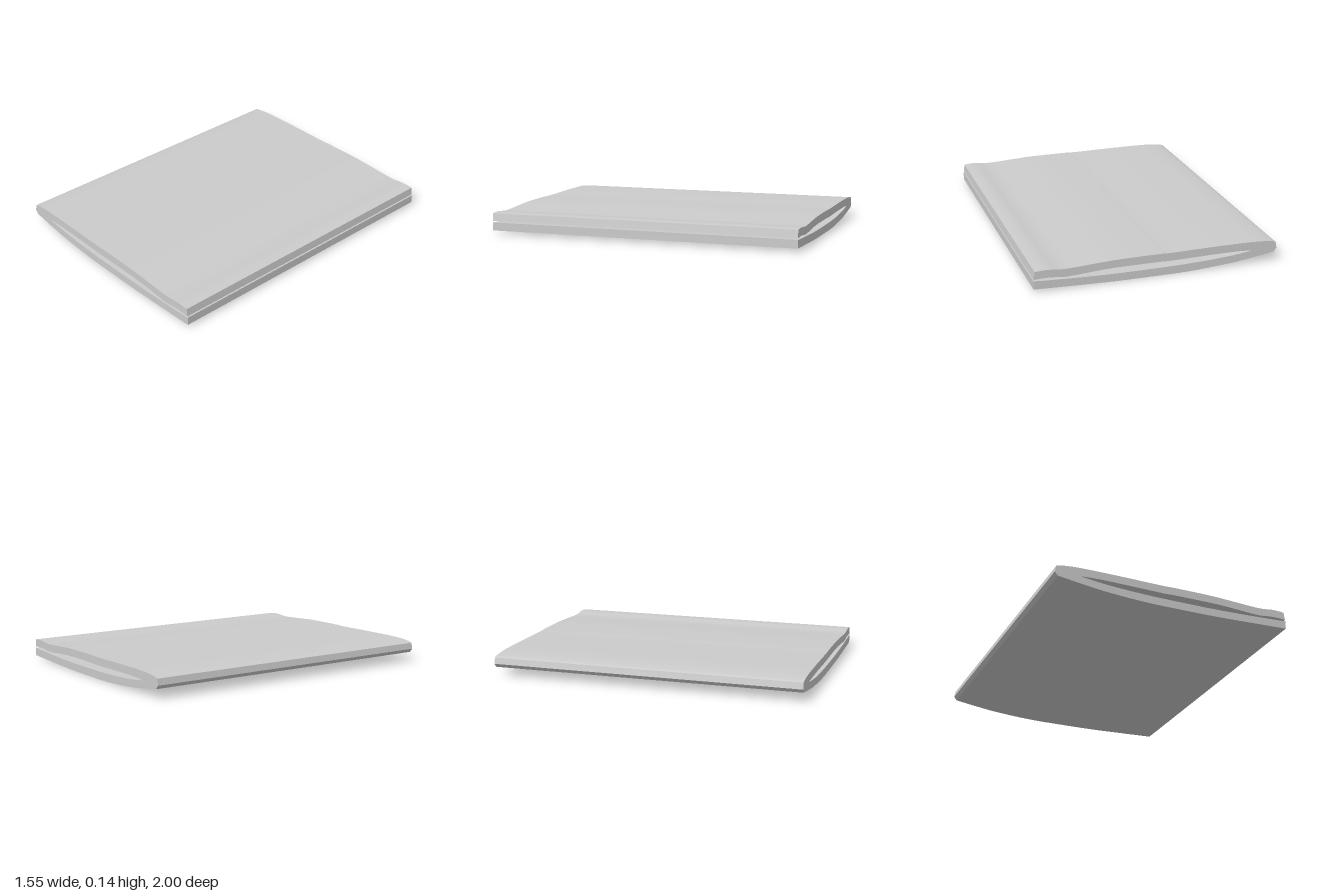
import * as THREE from 'three';
import { toCreasedNormals } from 'three/addons/utils/BufferGeometryUtils.js';

const LENGTH = 2;
const points = (list) => list.map(([x, y]) => new THREE.Vector2(x, y));

export function createModel() {
  const group = new THREE.Group();
  group.name = 'foldedSheet';

  // Folded cross-section, counter-clockwise from the lower flap's free edge
  const profile = new THREE.Shape();
  profile.moveTo(0.772, 0.07);
  // inner face of the lower flap, running to the tip of the gap
  profile.splineThru(points([[0.67, 0.064], [0.38, 0.053], [0.1, 0.05], [-0.2, 0.053], [-0.45, 0.066], [-0.61, 0.085]]));
  // inner face of the upper flap, back to its free edge
  profile.splineThru(points([[-0.53, 0.09], [-0.37, 0.091], [-0.08, 0.087], [0, 0.089], [0.28, 0.089],
    [0.42, 0.082], [0.57, 0.073], [0.64, 0.079], [0.7, 0.082], [0.77, 0.079]]));
  // upper free edge and wavy top
  profile.lineTo(0.763, 0.128);
  profile.splineThru(points([[0.69, 0.132], [0.586, 0.123], [0.42, 0.131], [0.255, 0.139], [0, 0.14], [-0.08, 0.138],
    [-0.37, 0.141], [-0.615, 0.14], [-0.73, 0.131], [-0.765, 0.122]]));
  // rounded fold
  profile.lineTo(-0.773, 0.082);
  profile.lineTo(-0.753, 0.058);
  // bowed underside
  profile.splineThru(points([[-0.594, 0.035], [-0.45, 0.018], [-0.2, 0.002], [0.05, 0], [0.3, 0.002], [0.55, 0.01], [0.772, 0.018]]));
  profile.closePath();

  const geometry = new THREE.ExtrudeGeometry(profile, { depth: LENGTH, bevelEnabled: false, curveSegments: 4 });
  geometry.translate(0, 0, -LENGTH / 2);

  const sheet = new THREE.Mesh(
    toCreasedNormals(geometry, THREE.MathUtils.degToRad(25)),
    new THREE.MeshStandardMaterial({ color: 0xcccccc })
  );
  sheet.name = 'sheet';
  group.add(sheet);
  return group;
}
